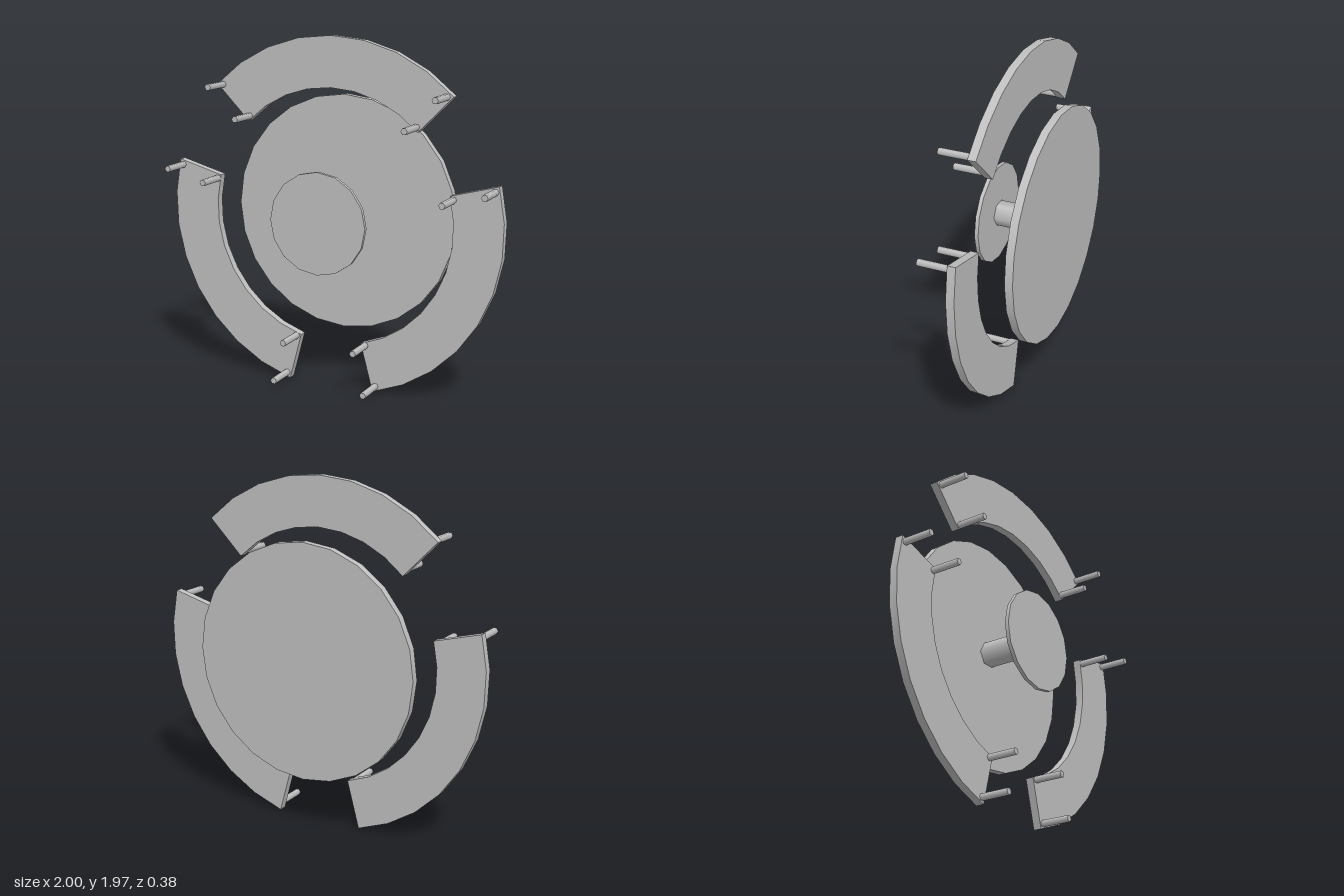
import * as THREE from 'three';
import { toCreasedNormals } from 'three/addons/utils/BufferGeometryUtils.js';

const CENTER_Y = 0.97;
const OUTER = 1.0;
const INNER = 0.72;

export function createModel() {
  const group = new THREE.Group();
  const grey = new THREE.MeshStandardMaterial({ color: 0xc0c0c0 });
  grey.name = 'plain grey';

  // Cylinder lying along z, with a corner on the x axis
  function zCylinder(name, radius, sides, z0, z1, parent) {
    const geo = new THREE.CylinderGeometry(radius, radius, z1 - z0, sides, 1, false, Math.PI / 2);
    geo.rotateX(Math.PI / 2);
    const mesh = new THREE.Mesh(geo, grey);
    mesh.name = name;
    mesh.position.z = (z0 + z1) / 2;
    parent.add(mesh);
    return mesh;
  }

  const body = new THREE.Group();
  body.name = 'body';
  body.position.y = CENTER_Y;
  group.add(body);

  // Central hub: large back disc, hexagonal axle, small front disc
  zCylinder('backDisc', 0.667, 24, -0.192, -0.147, body);
  zCylinder('axle', 0.071, 6, -0.15, 0.175, body);
  zCylinder('frontDisc', 0.285, 16, 0.17, 0.192, body);

  // Quarter-circle plate, centred on straight up
  const steps = 8;
  const points = [];
  for (const [radius, dir] of [[OUTER, 1], [INNER, -1]]) {
    for (let i = 0; i <= steps; i++) {
      const a = Math.PI / 2 + dir * (-Math.PI / 4 + (i / steps) * Math.PI / 2);
      points.push(new THREE.Vector2(radius * Math.cos(a), radius * Math.sin(a)));
    }
  }
  const plate = new THREE.ExtrudeGeometry(new THREE.Shape(points), { depth: 0.046, bevelEnabled: false });
  plate.translate(0, 0, -0.023);
  const plateGeo = toCreasedNormals(plate, Math.PI / 6);

  // Three ring segments, each with four pegs near its corners
  for (let k = 0; k < 3; k++) {
    const segment = new THREE.Group();
    segment.name = 'ringSegment' + (k + 1);
    segment.rotation.z = (k * Math.PI * 2) / 3;
    body.add(segment);

    const mesh = new THREE.Mesh(plateGeo, grey);
    mesh.name = 'segmentPlate';
    segment.add(mesh);

    for (const side of [-1, 1]) {
      for (const r of [0.735, 0.973]) {
        const a = Math.PI / 4 - 0.025 / r; // inset from the plate end
        const peg = zCylinder('peg', 0.019, 6, 0.02, 0.192, segment);
        peg.position.x = side * r * Math.sin(a);
        peg.position.y = r * Math.cos(a);
      }
    }
  }
  return group;
}
